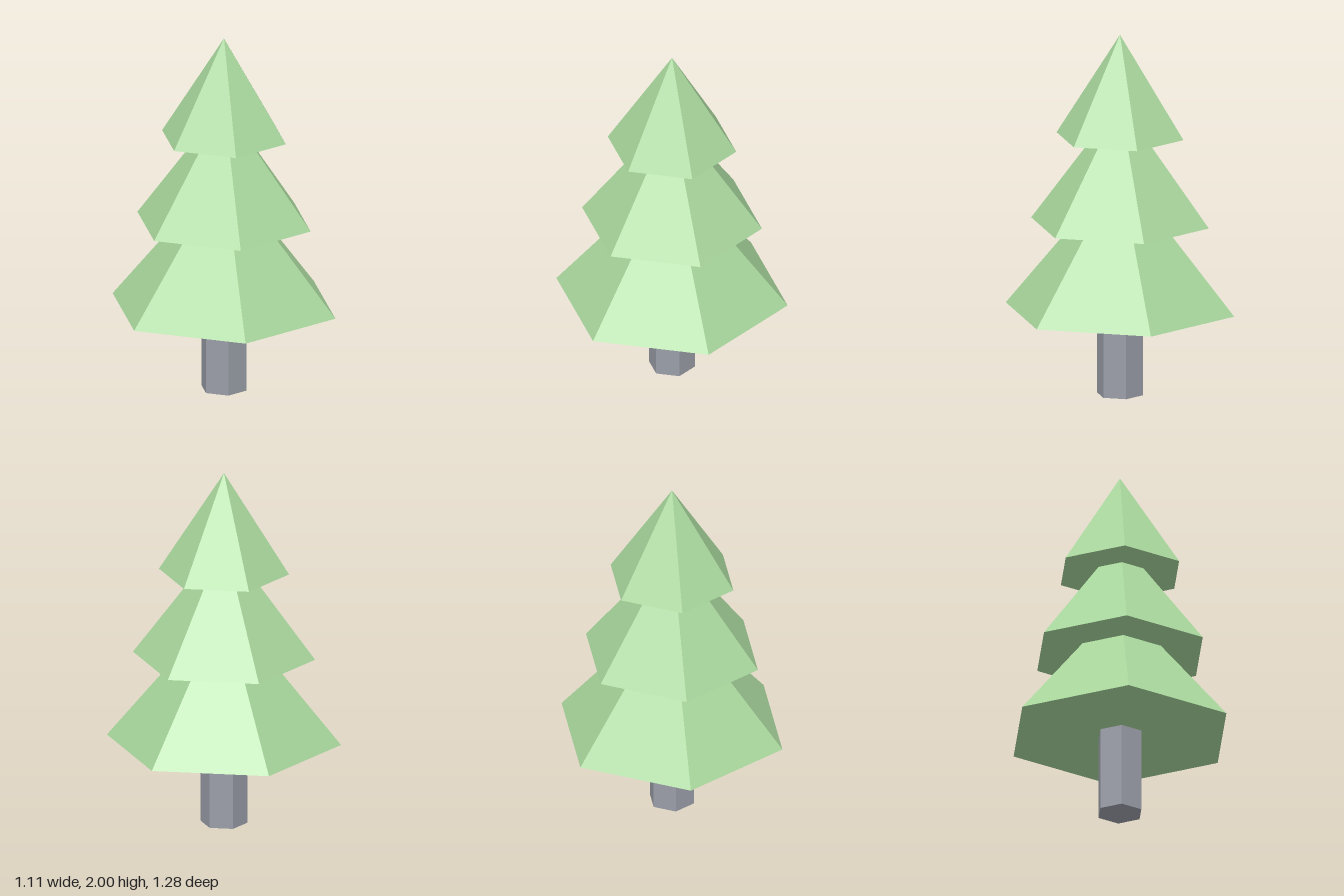
import * as THREE from 'three';

export function createModel() {
  const tree = new THREE.Group();
  tree.name = 'pineTree';

  const mat = (name, color) => {
    const m = new THREE.MeshStandardMaterial({ color });
    m.name = name;
    return m;
  };
  const leafGreen = mat('leafGreen', 0xa8d69c);
  const trunkGrey = mat('trunkGrey', 0x9a9ea8);

  // Split the faces so that every side of a six-sided solid is shaded flat
  const addPart = (name, geometry, material, y) => {
    const flat = geometry.toNonIndexed();
    flat.computeVertexNormals();
    const mesh = new THREE.Mesh(flat, material);
    mesh.name = name;
    mesh.position.y = y;
    tree.add(mesh);
  };

  // Hexagonal trunk, corners towards front and back
  const trunkHeight = 0.47;
  addPart('trunk', new THREE.CylinderGeometry(0.128, 0.128, trunkHeight, 6), trunkGrey, trunkHeight / 2);

  // Three stacked pyramids of foliage: radius, base height, tip height
  const tiers = [
    ['lowerFoliage', 0.639, 0.47, 1.252],
    ['middleFoliage', 0.497, 0.952, 1.626],
    ['upperFoliage', 0.355, 1.435, 2],
  ];
  for (const [name, radius, base, tip] of tiers) {
    addPart(name, new THREE.ConeGeometry(radius, tip - base, 6), leafGreen, (base + tip) / 2);
  }

  return tree;
}
